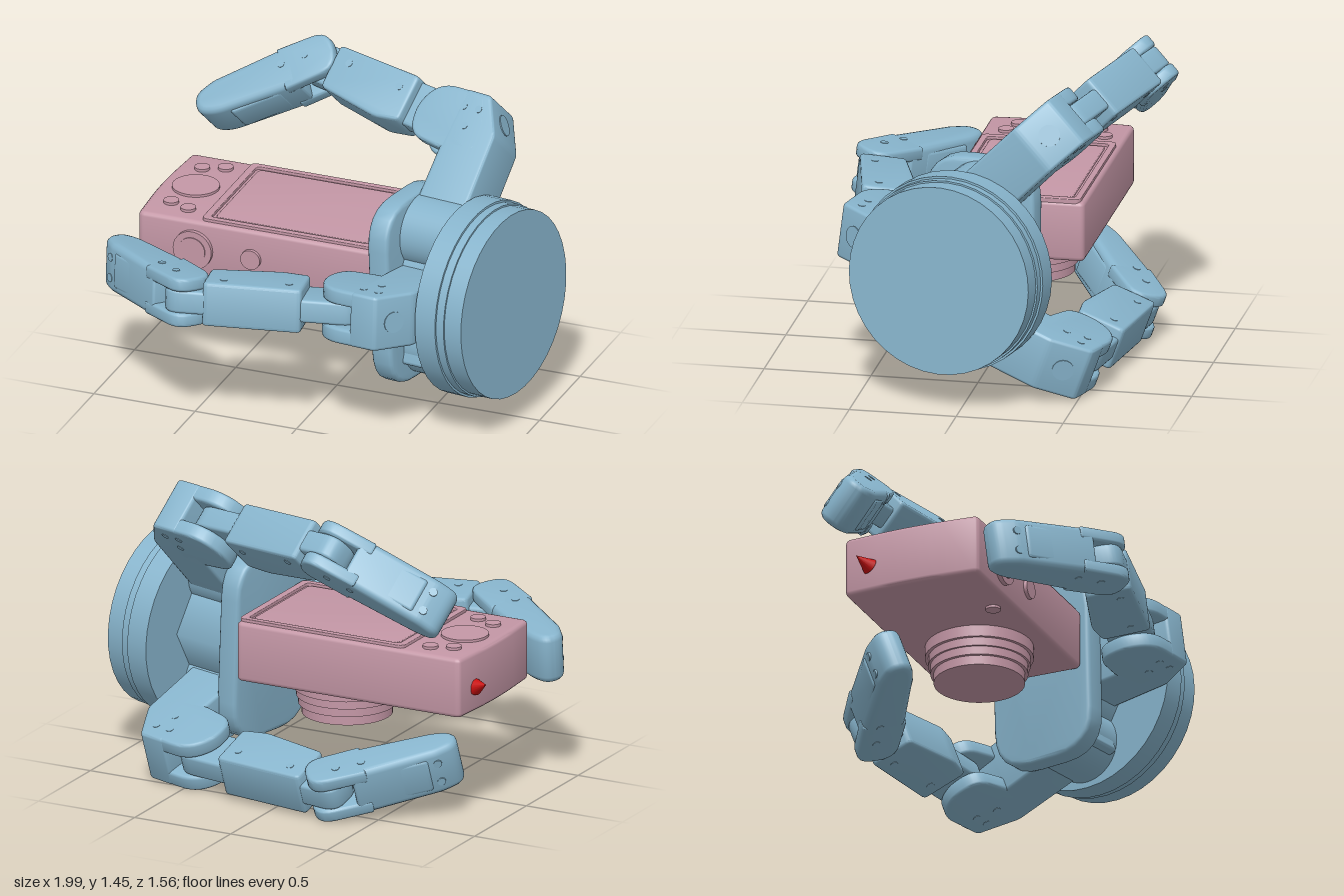
import * as THREE from 'three';
import { toCreasedNormals } from 'three/addons/utils/BufferGeometryUtils.js';

const blue = new THREE.MeshStandardMaterial({ color: 0x87b4cc });
const pink = new THREE.MeshStandardMaterial({ color: 0xc497a6 });
const red = new THREE.MeshStandardMaterial({ color: 0xcc1111 });

// Closed outline with rounded corners; a point may carry its own radius.
function outline(pts, radius) {
  const path = new THREE.Shape();
  const v = pts.map((p) => new THREE.Vector2(p[0], p[1]));
  v.forEach((p, i) => {
    const before = v[(i + v.length - 1) % v.length], after = v[(i + 1) % v.length];
    const r = pts[i][2] ?? radius;
    const cut = (q) => p.clone().lerp(q, Math.min(0.48, r / p.distanceTo(q)));
    const s = cut(before), e = cut(after);
    if (i) path.lineTo(s.x, s.y); else path.moveTo(s.x, s.y);
    path.quadraticCurveTo(p.x, p.y, e.x, e.y);
  });
  path.closePath();
  return path;
}

// Bevelled slab of the given width, centred on local z.
function slab(name, pts, width, { z = 0, radius = 0.03, bevel = 0.015, material = blue, hole } = {}) {
  const shape = outline(pts, radius);
  if (hole) shape.holes.push(outline(hole, 0.02));
  const geo = new THREE.ExtrudeGeometry(shape, {
    depth: width - 2 * bevel, bevelEnabled: true, bevelThickness: bevel,
    bevelSize: bevel, bevelOffset: -bevel, bevelSegments: 3, curveSegments: 6,
  });
  geo.translate(0, 0, z - width / 2 + bevel);
  const mesh = new THREE.Mesh(toCreasedNormals(geo, 0.6), material);
  mesh.name = name;
  return mesh;
}

function disc(name, radius, height, pos, material = blue, axis = 'y', sides = 40) {
  const geo = new THREE.CylinderGeometry(radius, radius, height, sides);
  if (axis === 'z') geo.rotateX(Math.PI / 2);
  const mesh = new THREE.Mesh(geo, material);
  mesh.position.set(...pos);
  mesh.name = name;
  return mesh;
}

const rect = (x0, x1, y0, y1) => [[x0, y0], [x1, y0], [x1, y1], [x0, y1]];

// Hand axis points from the fingertips' side towards the round cover.
const axis = new THREE.Vector3(0.98, 0.04, 0.19).normalize();
const centre = [0.5, 0.602, 0.02];

// Local frame: x forward along the hand, y radially outward, z across.
function frame(group, radial, origin) {
  const f = axis.clone().negate();
  const u = new THREE.Vector3(...radial);
  u.addScaledVector(f, -u.dot(f)).normalize();
  const m = new THREE.Matrix4().makeBasis(f, u, f.clone().cross(u)).setPosition(...origin);
  group.applyMatrix4(m);
  return group;
}

function screws(group, spots, half) {
  for (const [x, y] of spots) for (const s of [-1, 1])
    group.add(disc('screw', 0.018, 0.006, [x, y, s * half], blue, 'z', 12));
}

function makeFinger(name, radial, pivot, innerAngle, tipAngle) {
  const finger = new THREE.Group();
  finger.name = name;

  // Base arm with an oval cap on its chamfer, and forked knuckle
  finger.add(slab('baseArm', [[-0.17, -0.13], [-0.17, 0.457], [-0.073, 0.64], [0.06, 0.645], [0.086, 0.34], [0.1, -0.13]], 0.26, { radius: 0.02 }));
  const cap = disc('chamferCap', 0.05, 0.012, [-0.12, 0.549, 0]);
  cap.rotation.z = 1.08;
  finger.add(cap);
  const cheek = [[-0.1, 0.36], [-0.1, 0.5], [-0.05, 0.637], [0.195, 0.65, 0.09], [0.285, 0.53, 0.08], [0.265, 0.375, 0.07], [0.086, 0.34]];
  for (const s of [-1, 1]) finger.add(slab('knuckleCheek', cheek, 0.075, { z: s * 0.0925 }));
  screws(finger, [[-0.04, 0.56], [0.04, 0.56], [0, 0.47]], 0.129);

  // Inner link
  const inner = new THREE.Group();
  inner.name = 'innerLink';
  inner.position.set(0.183, 0.524, 0);
  inner.rotation.z = innerAngle;
  inner.add(slab('innerLinkBody', [[0.16, -0.12], [0.29, -0.145], [0.62, -0.11], [0.63, 0.105], [0.17, 0.11]], 0.21, { radius: 0.025 }));
  inner.add(slab('innerLinkNeck', rect(-0.09, 0.3, -0.115, 0.1), 0.11, { radius: 0.08 }));
  inner.add(slab('innerLinkTongue', rect(0.5, 0.81, -0.09, 0.1), 0.11, { radius: 0.08 }));
  screws(inner, [[0.24, 0.03], [0.54, 0.04]], 0.104);
  finger.add(inner);

  // Fingertip link with a fork at its joint
  const tip = new THREE.Group();
  tip.name = 'fingertip';
  tip.position.x = 0.72;
  tip.rotation.z = tipAngle;
  tip.add(slab('fingertipBody', [[0.1, -0.098], [0.53, -0.08, 0.06], [0.615, -0.04, 0.05], [0.605, 0.055, 0.05], [0.5, 0.09], [0.1, 0.113]], 0.235, { radius: 0.02, bevel: 0.03 }));
  const fork = [[-0.1, -0.09, 0.09], [0.17, -0.1], [0.17, 0.113], [-0.1, 0.11, 0.09]];
  for (const s of [-1, 1]) tip.add(slab('fingertipFork', fork, 0.065, { z: s * 0.085, radius: 0.01 }));
  tip.add(slab('fingertipPad', rect(0.2, 0.46, -0.096, 0.1), 0.17, { radius: 0.02 }));
  screws(tip, [[0.04, 0.03], [0.16, 0.03]], 0.117);
  for (const z of [-0.05, 0.05]) tip.add(disc('tipScrew', 0.02, 0.02, [0.5, 0.083, z], blue, 'y', 12));
  inner.add(tip);
  return frame(finger, radial, pivot);
}

function makePalm() {
  const palm = new THREE.Group();
  palm.name = 'palm';
  const along = (name, radius, t0, t1, y = 0, sides = 40) => {
    const m = disc(name, radius, t1 - t0, [-(t0 + t1) / 2, y, 0], blue, 'y', sides);
    m.rotation.z = Math.PI / 2; // cylinder top faces the cover
    palm.add(m);
  };
  // Round cover with its stepped rims
  along('cover', 0.445, 0.32, 0.42);
  along('coverSeam', 0.453, 0.285, 0.33);
  along('coverRim', 0.463, 0.18, 0.29);
  // Pivots of the two swinging fingers and the faceted hub between them
  for (const y of [-0.265, 0.27]) along('fingerPivot', 0.17, -0.11, 0.2, y);
  along('hub', 0.24, -0.11, 0.2, 0, 6);
  // Rounded palm plate
  const plate = slab('palmPlate', rect(-0.26, 0.28, -0.45, 0.45), 0.11, { radius: 0.2, bevel: 0.02 });
  plate.rotation.y = Math.PI / 2;
  plate.position.x = 0.135;
  palm.add(plate);
  return frame(palm, [0, 1, 0], centre);
}

function makeCamera() {
  const camera = new THREE.Group();
  camera.name = 'compactCamera';
  // Outlines lie in x and -z and are laid flat at height y
  const flat = (mesh, y) => {
    mesh.rotation.x = -Math.PI / 2;
    mesh.position.y = y;
    camera.add(mesh);
  };
  flat(slab('cameraBody', [[-0.895, -0.22], [0.27, -0.22], [0.27, 0.45], [-0.895, 0.45], [-0.918, 0.115, 0.2]], 0.285, { material: pink, bevel: 0.02 }), 0.6775);
  flat(slab('screenFrame', rect(-0.59, 0.265, -0.2, 0.43), 0.024, { material: pink, bevel: 0.004, hole: rect(-0.555, 0.23, -0.17, 0.4) }), 0.823);
  flat(slab('screen', rect(-0.54, 0.215, -0.155, 0.385), 0.02, { material: pink, bevel: 0.004 }), 0.818);

  // Control buttons
  camera.add(disc('controlDial', 0.11, 0.02, [-0.745, 0.822, -0.12], pink));
  for (const [x, z] of [[-0.79, -0.31], [-0.69, -0.35], [-0.79, 0.07], [-0.69, 0.11]])
    camera.add(disc('button', 0.036, 0.02, [x, 0.823, z], pink, 'y', 24));
  camera.add(disc('shutterDial', 0.095, 0.03, [-0.62, 0.68, 0.225], pink, 'z'));
  camera.add(disc('shutterButton', 0.065, 0.04, [-0.62, 0.68, 0.225], pink, 'z'));
  camera.add(disc('powerButton', 0.048, 0.03, [-0.335, 0.68, 0.222], pink, 'z'));
  camera.add(disc('flashWindow', 0.035, 0.02, [-0.5, 0.533, 0.12], pink, 'y', 24));

  // Stepped lens barrel pointing down
  [[0.25, 0.48, 0.56], [0.235, 0.44, 0.49], [0.225, 0.4, 0.45], [0.21, 0.355, 0.41]].forEach(([r, y0, y1]) =>
    camera.add(disc('lensBarrel', r, y1 - y0, [-0.13, (y0 + y1) / 2, -0.115], pink)));
  return camera;
}

export function createModel() {
  const model = new THREE.Group();
  model.name = 'gripperHoldingCamera';
  model.add(makePalm(), makeCamera());
  model.add(makeFinger('frontFinger', [0, 0.12, 0.99], centre, 0.425, -0.85));
  model.add(makeFinger('upperFinger', [0, 0.7, -0.71], [0.5, 0.88, -0.01], 0.14, -0.75));
  model.add(makeFinger('lowerFinger', [0, -0.34, -0.94], [0.5, 0.345, 0.04], -0.06, -0.75));

  // Small red marker standing on the camera's end
  const marker = new THREE.Mesh(new THREE.ConeGeometry(0.04, 0.09, 16), red);
  marker.name = 'marker';
  marker.position.set(-0.943, 0.67, -0.335);
  marker.quaternion.setFromUnitVectors(new THREE.Vector3(0, 1, 0), new THREE.Vector3(-0.85, 0.35, -0.4).normalize());
  model.add(marker);
  return model;
}
